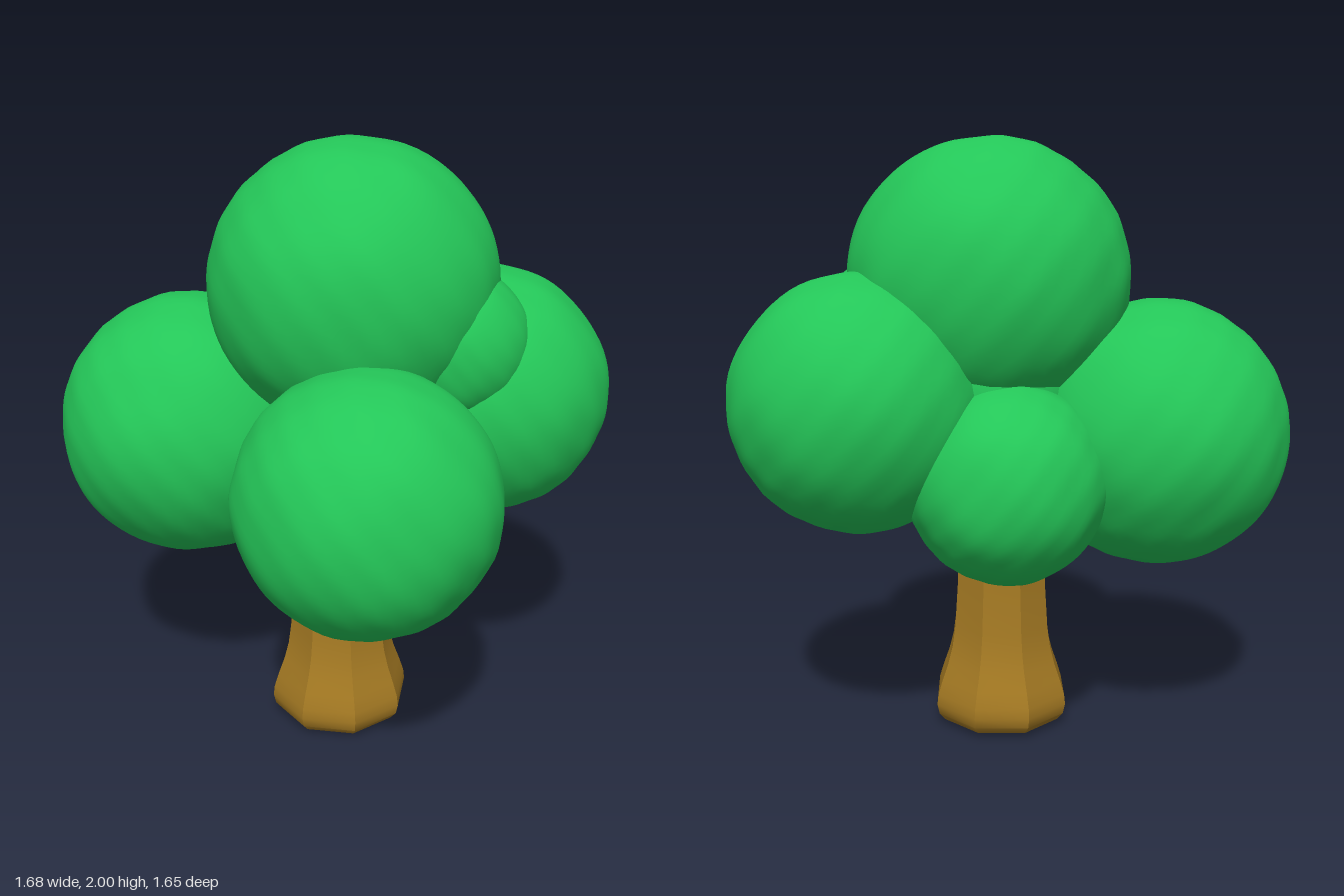
import * as THREE from 'three';
import { mergeVertices, toCreasedNormals } from 'three/addons/utils/BufferGeometryUtils.js';

const leafGreen = new THREE.MeshStandardMaterial({ color: 0x24c658 });
leafGreen.name = 'leaf green';
const barkBrown = new THREE.MeshStandardMaterial({ color: 0xa57a23 });
barkBrown.name = 'bark brown';

// Smooth ball with a slightly hand-modelled, dented surface
function leafBall(name, x, y, z, r, seed) {
  const raw = new THREE.IcosahedronGeometry(1, 14);
  raw.deleteAttribute('normal');
  raw.deleteAttribute('uv');
  const geo = mergeVertices(raw, 1e-4);
  const pos = geo.attributes.position;
  const v = new THREE.Vector3();
  for (let i = 0; i < pos.count; i++) {
    v.fromBufferAttribute(pos, i).normalize();
    const broad = Math.sin(5 * v.x + seed) * Math.sin(6 * v.y + 2 * seed) * Math.sin(5 * v.z - seed);
    const fine = Math.sin(13 * v.x + 7 * v.y + seed) * Math.sin(15 * v.z - 9 * v.y + 3 * seed);
    v.multiplyScalar(r * (1 + 0.012 * broad + 0.006 * fine));
    pos.setXYZ(i, v.x, v.y, v.z);
  }
  geo.computeVertexNormals();
  const mesh = new THREE.Mesh(geo, leafGreen);
  mesh.name = name;
  mesh.position.set(x, y, z);
  return mesh;
}

// Eight-sided trunk with a soft flared foot
function makeTrunk() {
  const profile = [
    [0, 0], [0.17, 0.003], [0.21, 0.015], [0.232, 0.04], [0.24, 0.075], [0.236, 0.11],
    [0.22, 0.16], [0.198, 0.22], [0.182, 0.28], [0.172, 0.35], [0.162, 0.5], [0.154, 0.7], [0.14, 0.95], [0, 0.97],
  ].map(([r, y]) => new THREE.Vector2(r, y));
  let geo = new THREE.LatheGeometry(profile, 8, Math.PI / 8);
  geo = toCreasedNormals(geo, 0.62);
  const mesh = new THREE.Mesh(geo, barkBrown);
  mesh.name = 'trunk';
  mesh.position.set(0.017, 0, 0.07);
  return mesh;
}

export function createModel() {
  const tree = new THREE.Group();
  tree.name = 'tree';
  tree.add(makeTrunk());

  const foliage = new THREE.Group();
  foliage.name = 'foliage';
  foliage.add(
    leafBall('topFoliage', 0.015, 1.535, 0.005, 0.465, 1),
    leafBall('frontRightFoliage', -0.395, 1.035, 0.38, 0.44, 2.3),
    leafBall('frontLeftFoliage', 0.435, 1.0, 0.26, 0.405, 3.7),
    leafBall('backFoliage', 0.18, 1.155, -0.415, 0.415, 5.1),
    leafBall('backRightFoliage', -0.22, 0.915, -0.15, 0.32, 0.4),
    leafBall('smallLeftFoliage', 0.27, 1.37, -0.19, 0.25, 4.2),
    leafBall('innerFoliage', 0.04, 1.17, -0.03, 0.36, 6),
  );
  tree.add(foliage);
  return tree;
}
